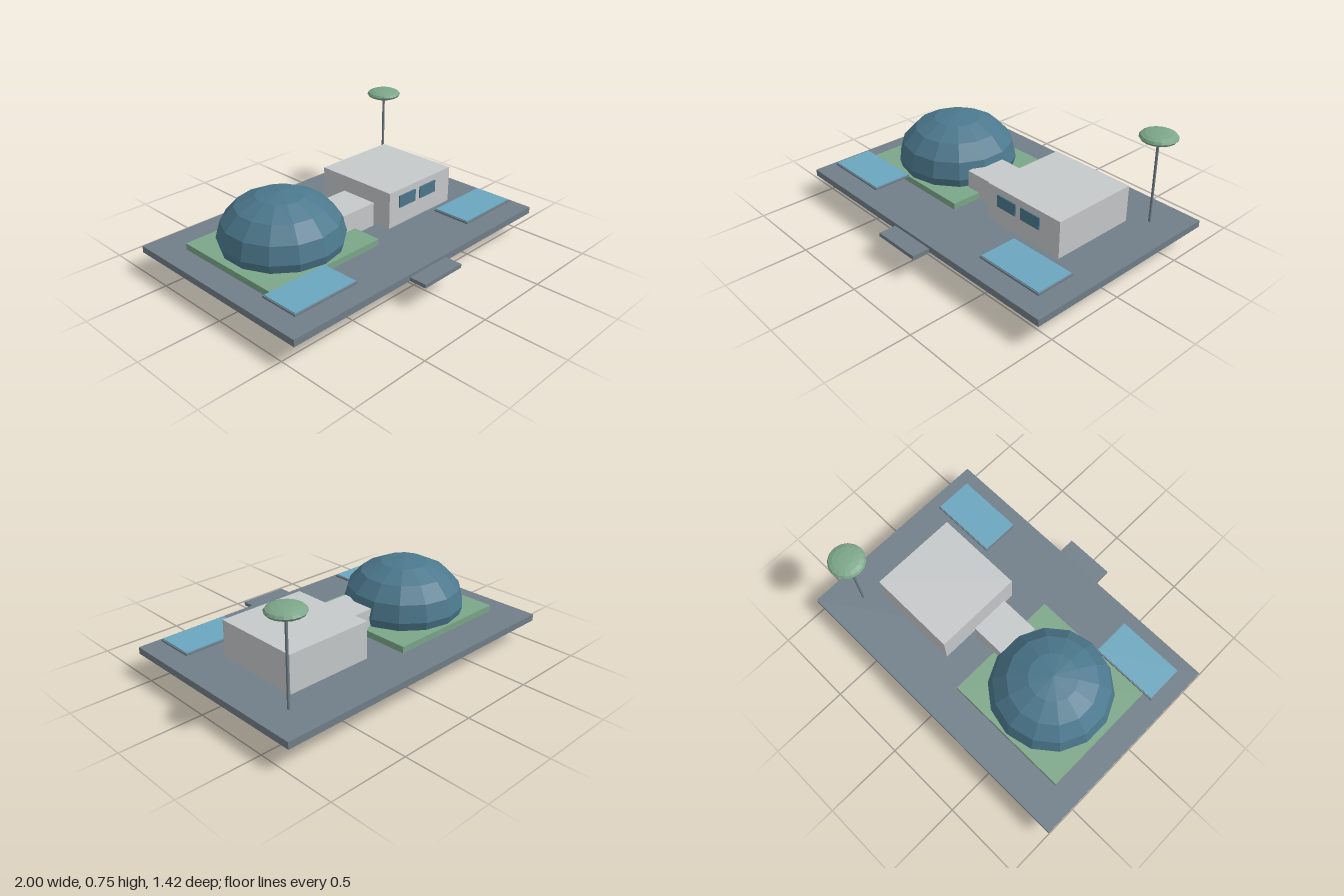
import * as THREE from 'three';

const mat = (name, color, flat = true) => {
  const m = new THREE.MeshStandardMaterial({ color });
  m.name = name;
  m.flatShading = flat;
  return m;
};

export function createModel() {
  const slate = mat('slate', 0x717f89);
  const wall = mat('pale wall', 0xc6c9ca);
  const dome = mat('deep blue', 0x4c788d);
  const green = mat('sage green', 0x7ca689);
  const solar = mat('panel blue', 0x6ba6bf);

  const model = new THREE.Group();
  model.name = 'domeStation';

  const add = (name, geometry, material, parent = model) => {
    const mesh = new THREE.Mesh(geometry, material);
    mesh.name = name;
    parent.add(mesh);
    return mesh;
  };
  // Box given by its limits on each axis
  const box = (name, material, [x0, x1], [y0, y1], [z0, z1], parent) => {
    const g = new THREE.BoxGeometry(x1 - x0, y1 - y0, z1 - z0);
    g.translate((x0 + x1) / 2, (y0 + y1) / 2, (z0 + z1) / 2);
    return add(name, g, material, parent);
  };

  // Ground deck and entry step
  box('platform', slate, [-1, 1], [0.136, 0.178], [-0.71, 0.6]);
  box('entryStep', slate, [-0.155, 0.155], [0.136, 0.16], [0.6, 0.71]);

  // Dome, a squashed faceted sphere sunk through its garden slab
  box('gardenSlab', green, [-0.845, -0.036], [0.178, 0.218], [-0.494, 0.256]);
  const domeGeo = new THREE.SphereGeometry(0.374, 14, 8);
  domeGeo.rotateY(Math.PI / 2).scale(1, 0.27 / 0.374, 1);
  add('dome', domeGeo, dome).position.set(-0.446, 0.27, -0.118);

  // Main building, link corridor and windows
  box('corridor', wall, [-0.13, 0.123], [0.178, 0.33], [-0.182, 0.066]);
  box('building', wall, [0.156, 0.716], [0.178, 0.41], [-0.396, 0.164]);
  for (const x of [0.24, 0.426]) {
    box('window', dome, [x, x + 0.144], [0.292, 0.369], [0.164, 0.172]);
  }

  // Solar panels, each on two posts
  for (const side of [-1, 1]) {
    const panel = new THREE.Group();
    panel.name = side < 0 ? 'rightSolarPanel' : 'leftSolarPanel';
    panel.position.set(side * 0.687, 0, 0.381);
    model.add(panel);
    box('panelFrame', slate, [-0.218, 0.218], [0.218, 0.23], [-0.125, 0.125], panel);
    box('panelCells', solar, [-0.212, 0.212], [0.23, 0.235], [-0.119, 0.119], panel);
    for (const x of [-0.123, 0.123]) {
      add('panelPost', new THREE.CylinderGeometry(0.006, 0.006, 0.042, 8), slate, panel)
        .position.set(x, 0.198, 0.006);
    }
  }

  // Antenna mast with a flattened head
  add('mast', new THREE.CylinderGeometry(0.008, 0.008, 0.532, 8), slate).position.set(0.81, 0.444, -0.492);
  const headGeo = new THREE.SphereGeometry(0.11, 16, 8);
  headGeo.scale(1, 0.3, 1);
  add('antennaHead', headGeo, green).position.set(0.81, 0.722, -0.492);

  return model;
}
